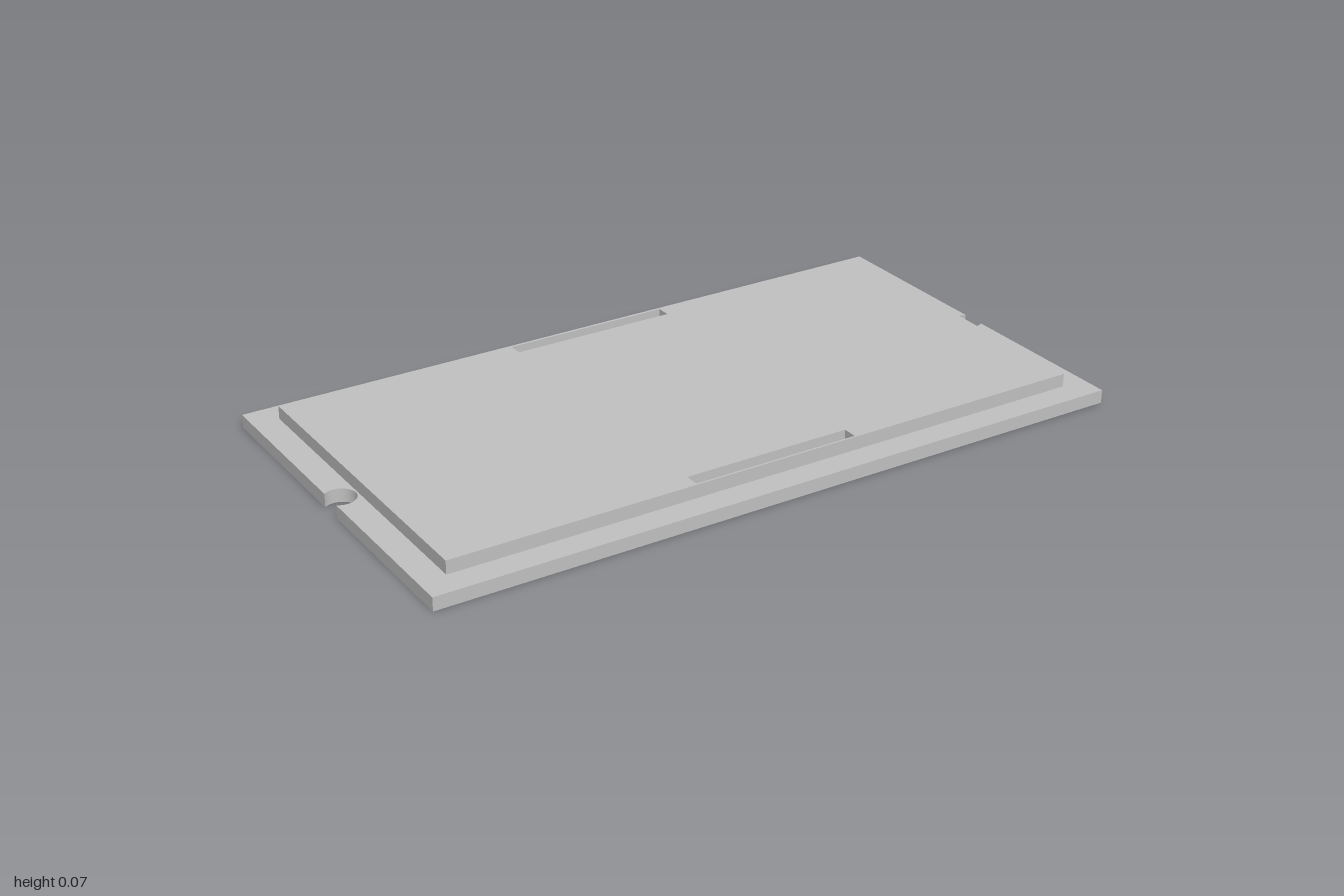
import * as THREE from 'three';

const LAYER = 0.033; // thickness of each plate

// Rectangular slots that pass through both plates near the long edges
function addSlots(shape) {
  for (const s of [-1, 1]) {
    const slot = new THREE.Path();
    slot.moveTo(-0.211, s * 0.377);
    slot.lineTo(0.211, s * 0.377);
    slot.lineTo(0.211, s * 0.413);
    slot.lineTo(-0.211, s * 0.413);
    slot.closePath();
    shape.holes.push(slot);
  }
  return shape;
}

// Wide base outline with a round screw notch in the middle of each short edge
function baseShape() {
  const w = 0.885, h = 0.483, c = 0.862, r = 0.038;
  const a = Math.acos((w - c) / r);
  const shape = new THREE.Shape();
  shape.moveTo(-w, -h);
  shape.lineTo(w, -h);
  shape.absarc(c, 0, r, -a, a, true);
  shape.lineTo(w, h);
  shape.lineTo(-w, h);
  shape.absarc(-c, 0, r, Math.PI - a, Math.PI + a, true);
  shape.closePath();
  return addSlots(shape);
}

// Smaller raised rectangle
function raisedShape() {
  const w = 0.82, h = 0.418;
  const shape = new THREE.Shape();
  shape.moveTo(-w, -h);
  shape.lineTo(w, -h);
  shape.lineTo(w, h);
  shape.lineTo(-w, h);
  shape.closePath();
  return addSlots(shape);
}

export function createModel() {
  const grey = new THREE.MeshStandardMaterial({ color: 0xc0c0c0 });
  grey.name = 'plain grey';

  const group = new THREE.Group();
  group.name = 'steppedPlate';

  const addPlate = (name, shape, y) => {
    const geometry = new THREE.ExtrudeGeometry(shape, { depth: LAYER, bevelEnabled: false, curveSegments: 24 });
    geometry.rotateX(-Math.PI / 2);
    const mesh = new THREE.Mesh(geometry, grey);
    mesh.name = name;
    mesh.position.y = y;
    group.add(mesh);
  };
  addPlate('basePlate', baseShape(), 0);
  addPlate('raisedPlate', raisedShape(), LAYER);

  // The plate lies turned about the vertical axis
  group.rotation.y = THREE.MathUtils.degToRad(36);
  return group;
}
